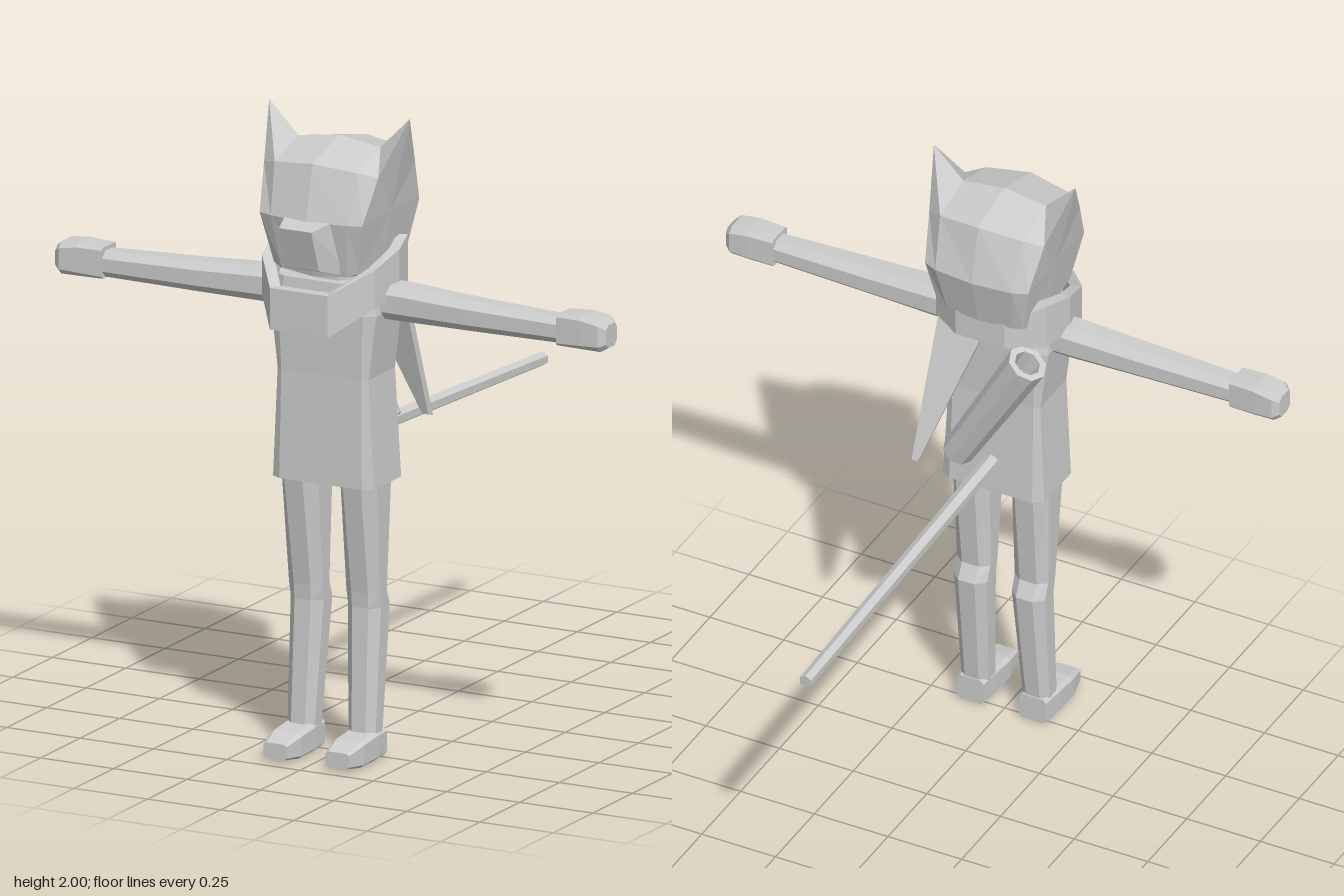
import * as THREE from 'three';

const grey = new THREE.MeshStandardMaterial({ color: 0xcccccc, flatShading: true });
grey.name = 'grey';

// Skin a row of equal-length point rings; ends are capped, or joined when looped.
function loft(rings, looped = false) {
  const pos = [];
  const tri = (a, b, c) => pos.push(...a, ...b, ...c);
  const n = rings[0].length;
  const last = looped ? rings.length : rings.length - 1;
  for (let i = 0; i < last; i++) {
    const a = rings[i], b = rings[(i + 1) % rings.length];
    for (let j = 0; j < n; j++) {
      const k = (j + 1) % n;
      tri(a[j], a[k], b[k]);
      tri(a[j], b[k], b[j]);
    }
  }
  if (!looped) {
    const cap = (ring, flip) => {
      const mid = [0, 1, 2].map((d) => ring.reduce((s, p) => s + p[d], 0) / n);
      for (let j = 0; j < n; j++) {
        const p = ring[j], q = ring[(j + 1) % n];
        if (flip) tri(mid, p, q); else tri(mid, q, p);
      }
    };
    cap(rings[0], false);
    cap(rings[rings.length - 1], true);
  }
  // Turn the faces outward if the enclosed volume is negative
  let volume = 0;
  const v = (i) => new THREE.Vector3(pos[i], pos[i + 1], pos[i + 2]);
  for (let i = 0; i < pos.length; i += 9) volume += v(i).dot(v(i + 3).cross(v(i + 6)));
  if (volume < 0) {
    for (let i = 0; i < pos.length; i += 9) {
      for (let d = 0; d < 3; d++) [pos[i + 3 + d], pos[i + 6 + d]] = [pos[i + 6 + d], pos[i + 3 + d]];
    }
  }
  const g = new THREE.BufferGeometry();
  g.setAttribute('position', new THREE.Float32BufferAttribute(pos, 3));
  g.computeVertexNormals();
  return g;
}

// Rectangle with cut corners: half sizes a, b, and the uncut fraction of each side
const cutRect = (a, b, f) => [
  [a, b * f], [a * f, b], [-a * f, b], [-a, b * f],
  [-a, -b * f], [-a * f, -b], [a * f, -b], [a, -b * f],
];
const ringY = (cx, y, cz, rx, rz, f = 0.5) => cutRect(rx, rz, f).map(([u, w]) => [cx + u, y, cz + w]);
const ringX = (x, cy, cz, ry, rz, f = 0.5) => cutRect(ry, rz, f).map(([u, w]) => [x, cy + u, cz + w]);
const ringZ = (cx, cy, z, rx, ry, f = 0.5) => cutRect(rx, ry, f).map(([u, w]) => [cx + u, cy + w, z]);

export function createModel() {
  const model = new THREE.Group();
  model.name = 'catFigure';
  const add = (name, geometry) => {
    const mesh = new THREE.Mesh(geometry, grey);
    mesh.name = name;
    model.add(mesh);
    return mesh;
  };

  // Torso
  add('torso', loft([
    ringY(0, 0.86, 0.515, 0.172, 0.105, 0.82),
    ringY(0, 1.2, 0.52, 0.155, 0.095, 0.88),
    ringY(0, 1.4, 0.52, 0.18, 0.1, 0.8),
    ringY(0, 1.49, 0.52, 0.16, 0.09, 0.8),
  ]));
  add('neck', loft([ringY(0, 1.47, 0.5, 0.08, 0.08), ringY(0, 1.58, 0.5, 0.08, 0.08)]));

  // Head: slices from side to side, the outermost rising into the ears
  const outer = [[0.24, 2, 0.5], [0.195, 1.84, 0.615], [0.175, 1.7, 0.68], [0.145, 1.54, 0.645],
    [0.145, 1.52, 0.5], [0.145, 1.54, 0.35], [0.175, 1.7, 0.32], [0.195, 1.84, 0.385]];
  const inner = [[0.14, 1.9, 0.5], [0.14, 1.855, 0.65], [0.13, 1.7, 0.695], [0.11, 1.53, 0.66],
    [0.11, 1.5, 0.5], [0.11, 1.54, 0.34], [0.13, 1.7, 0.3], [0.14, 1.865, 0.35]];
  const middle = [[0, 1.92, 0.5], [0, 1.87, 0.67], [0, 1.7, 0.715], [0, 1.52, 0.67],
    [0, 1.5, 0.5], [0, 1.54, 0.33], [0, 1.7, 0.288], [0, 1.88, 0.33]];
  const flip = (ring) => ring.map(([x, y, z]) => [-x, y, z]);
  add('head', loft([flip(outer), flip(inner), middle, inner, outer]));

  // Snout
  const snoutRing = (top, bottom, yt, yb, zt, zb) => [
    [top, yt, zt], [-top, yt, zt], [-bottom, yb, zb], [bottom, yb, zb]];
  add('snout', loft([
    snoutRing(0.09, 0.11, 1.71, 1.52, 0.66, 0.62),
    snoutRing(0.055, 0.06, 1.69, 1.56, 0.78, 0.74),
  ]));

  // Scarf: a tilted band, each stop giving x, z, lower y and upper y
  const half = [[0.095, 0.75, 1.36, 1.49], [0.185, 0.62, 1.43, 1.55], [0.205, 0.5, 1.46, 1.59],
    [0.18, 0.4, 1.46, 1.61], [0.08, 0.335, 1.46, 1.55]];
  const stops = [...half, ...half.map(([x, ...r]) => [-x * 1.08, ...r]).reverse()];
  add('scarf', loft(stops.map(([x, z, lo, hi]) => {
    const ix = x * 0.84, iz = 0.52 + (z - 0.52) * 0.84;
    return [[x, lo, z], [x, hi, z], [ix, hi, iz], [ix, lo + 0.02, iz]];
  }), true));

  // Hanging scarf end
  add('scarfTail', loft([
    [[0.01, 1.47, 0.43], [0.17, 1.47, 0.43], [0.17, 1.46, 0.395], [0.01, 1.46, 0.395]],
    [[0.165, 1.02, 0.285], [0.187, 1.02, 0.285], [0.187, 1.01, 0.255], [0.165, 1.01, 0.255]],
  ]));

  // Limbs, mirrored
  for (const s of [1, -1]) {
    const side = s > 0 ? 'left' : 'right';
    add(side + 'Arm', loft([
      ringX(s * 0.12, 1.435, 0.515, 0.055, 0.055),
      ringX(s * 0.24, 1.435, 0.515, 0.055, 0.055),
      ringX(s * 0.45, 1.43, 0.52, 0.048, 0.052),
      ringX(s * 0.79, 1.425, 0.523, 0.04, 0.042),
    ]));
    add(side + 'Hand', loft([
      ringX(s * 0.775, 1.43, 0.522, 0.048, 0.046, 0.85),
      ringX(s * 0.86, 1.432, 0.522, 0.052, 0.05, 0.75),
      ringX(s * 0.92, 1.428, 0.522, 0.05, 0.05, 0.65),
      ringX(s * 0.94, 1.425, 0.522, 0.036, 0.034, 0.6),
    ]));
    add(side + 'Leg', loft([
      ringY(s * 0.1, 0.88, 0.52, 0.063, 0.09),
      ringY(s * 0.098, 0.52, 0.51, 0.057, 0.045),
      ringY(s * 0.098, 0.47, 0.495, 0.056, 0.056),
      ringY(s * 0.104, 0.06, 0.53, 0.046, 0.043),
    ]));
    add(side + 'Foot', loft([
      ringZ(s * 0.106, 0.045, 0.48, 0.046, 0.043, 0.75),
      ringZ(s * 0.106, 0.045, 0.55, 0.052, 0.045, 0.75),
      ringZ(s * 0.106, 0.04, 0.64, 0.053, 0.04, 0.75),
      ringZ(s * 0.106, 0.035, 0.71, 0.04, 0.024, 0.75),
    ]));
  }

  // Tail
  const along = (mesh, from, to) => {
    const dir = to.clone().sub(from);
    mesh.position.copy(from).addScaledVector(dir, 0.5);
    mesh.quaternion.setFromUnitVectors(new THREE.Vector3(0, 1, 0), dir.normalize());
  };
  const tailFrom = new THREE.Vector3(0, 0.965, 0.44), tailTo = new THREE.Vector3(0, 0.907, -0.78);
  along(add('tail', new THREE.CylinderGeometry(0.022, 0.026, tailFrom.distanceTo(tailTo), 6)), tailFrom, tailTo);

  // Hollow tube slung across the back
  const tubeFrom = new THREE.Vector3(0.085, 1.01, 0.36), tubeTo = new THREE.Vector3(-0.17, 1.44, 0.325);
  const h = tubeFrom.distanceTo(tubeTo) / 2;
  const profile = [[0, -h], [0.05, -h], [0.063, h], [0.042, h], [0.036, h - 0.08], [0, h - 0.08]]
    .map(([r, y]) => new THREE.Vector2(r, y));
  along(add('backTube', new THREE.LatheGeometry(profile, 8)), tubeFrom, tubeTo);

  return model;
}
